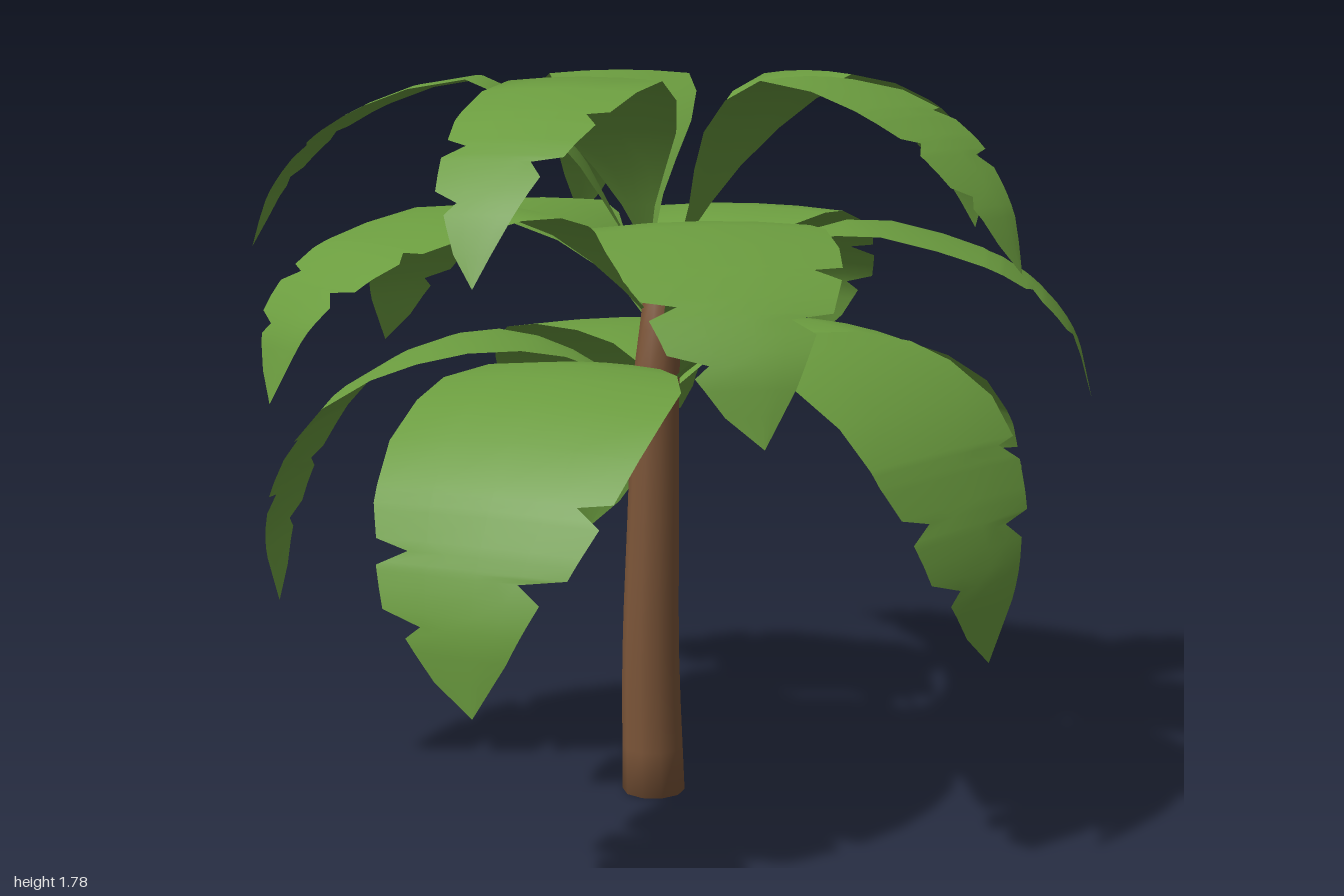
import * as THREE from 'three';
import { mergeVertices } from 'three/addons/utils/BufferGeometryUtils.js';

const leafGreen = new THREE.MeshStandardMaterial({ color: 0x6b9c3f, side: THREE.DoubleSide });
leafGreen.name = 'leafGreen';
const barkBrown = new THREE.MeshStandardMaterial({ color: 0x7d5639 });
barkBrown.name = 'barkBrown';

// Leaf half-width along its length (position, width); the dips are notches
const base = [[0, .03], [.1, .06], [.17, .23], [.24, .48], [.32, .78], [.4, .97], [.48, 1]];
const leftEdge = [...base, [.58, .98], [.66, .9], [.67, .64], [.7, .84], [.78, .68],
  [.793, .32], [.82, .5], [.91, .28], [1, 0]];
const rightEdge = [...base, [.58, 1], [.69, .95], [.745, .86], [.76, .58], [.785, .82], [.85, .72],
  [.87, .4], [.89, .52], [.95, .3], [1, 0]];

function widthAt(edge, s) {
  let i = 1;
  while (i < edge.length - 1 && edge[i][0] < s) i++;
  const [s0, w0] = edge[i - 1], [s1, w1] = edge[i];
  return THREE.MathUtils.lerp(w0, w1, (s - s0) / (s1 - s0));
}

// Blade swept along an arching midrib, pointing to +z
function leafGeometry(profile, halfWidth) {
  const midrib = new THREE.CatmullRomCurve3(profile.map(([r, y]) => new THREE.Vector3(0, y, r)));
  const rows = [...new Set([...leftEdge, ...rightEdge].map(p => p[0]))].sort((a, b) => a - b);
  const across = [-1, -.5, 0, .5, 1];
  const positions = [], index = [];
  rows.forEach((s, i) => {
    const p = midrib.getPointAt(s), t = midrib.getTangentAt(s);
    across.forEach((u, j) => {
      const w = widthAt(u < 0 ? rightEdge : leftEdge, s) * halfWidth;
      const curl = .05 * w * u * u; // edges dip slightly below the midrib
      positions.push(u * w, p.y - curl * t.z, p.z + curl * t.y);
      if (i && j) {
        const d = i * 5 + j, c = d - 1, b = d - 5, a = d - 6;
        index.push(a, c, b, b, c, d);
      }
    });
  });
  const geometry = new THREE.BufferGeometry();
  geometry.setAttribute('position', new THREE.Float32BufferAttribute(positions, 3));
  geometry.setIndex(index);
  geometry.computeVertexNormals();
  return geometry;
}

// Leaning trunk: a cylinder bent along a curve and tapered to a blunt point
function makeTrunk() {
  const path = new THREE.CatmullRomCurve3([[-.02, 0, -.005], [-.035, .35, -.002], [-.04, .7, .01],
    [-.04, 1.05, .02], [-.02, 1.25, .022], [.005, 1.4, -.005]].map(p => new THREE.Vector3(...p)));
  const radii = [[0, .078], [.75, .056], [.9, .045], [1, .018]];
  const cylinder = new THREE.CylinderGeometry(1, 1, 1, 10, 12);
  cylinder.deleteAttribute('uv');
  cylinder.deleteAttribute('normal');
  const geometry = mergeVertices(cylinder);
  const pos = geometry.attributes.position;
  for (let i = 0; i < pos.count; i++) {
    const s = pos.getY(i) + .5, c = path.getPointAt(s), r = widthAt(radii, s);
    pos.setXYZ(i, c.x + pos.getX(i) * r, c.y, c.z + pos.getZ(i) * r);
  }
  geometry.computeVertexNormals();
  const trunk = new THREE.Mesh(geometry, barkBrown);
  trunk.name = 'trunk';
  return trunk;
}

// Three whorls; profile points are (radius, height), leaves are [heading in degrees, lift]
const tiers = [
  { name: 'topLeaves', halfWidth: .183, x: -.02, leaves: [[0, 0], [71, .01], [142, .01], [215, 0], [287, 0]],
    profile: [[.01, 1.26], [.1, 1.43], [.24, 1.65], [.42, 1.77], [.6, 1.74], [.8, 1.64], [.93, 1.5], [.99, 1.36]] },
  { name: 'middleLeaves', halfWidth: .255, x: 0, leaves: [[30, -.03], [103, -.02], [177, 0], [252, .02], [320, 0]],
    profile: [[.01, 1.15], [.1, 1.24], [.25, 1.39], [.45, 1.46], [.65, 1.43], [.85, 1.35], [.975, 1.22], [1.025, 1.05]] },
  { name: 'lowerLeaves', halfWidth: .3, x: -.02, leaves: [[-2, .02], [67, 0], [141, -.02], [214, -.02], [285, -.03]],
    profile: [[.01, 1.0], [.12, 1.08], [.25, 1.14], [.42, 1.165], [.6, 1.13], [.78, 1.03], [.9, .86], [.96, .68], [.955, .49]] },
];

export function createModel() {
  const palm = new THREE.Group();
  palm.name = 'palmTree';
  palm.add(makeTrunk());
  for (const { name, halfWidth, x, leaves, profile } of tiers) {
    const tier = new THREE.Group();
    tier.name = name;
    tier.position.set(x, 0, .01);
    const geometry = leafGeometry(profile, halfWidth);
    for (const [heading, lift] of leaves) {
      const leaf = new THREE.Mesh(geometry, leafGreen);
      leaf.name = 'leaf';
      leaf.position.y = lift;
      leaf.rotation.y = THREE.MathUtils.degToRad(heading);
      tier.add(leaf);
    }
    palm.add(tier);
  }
  return palm;
}
